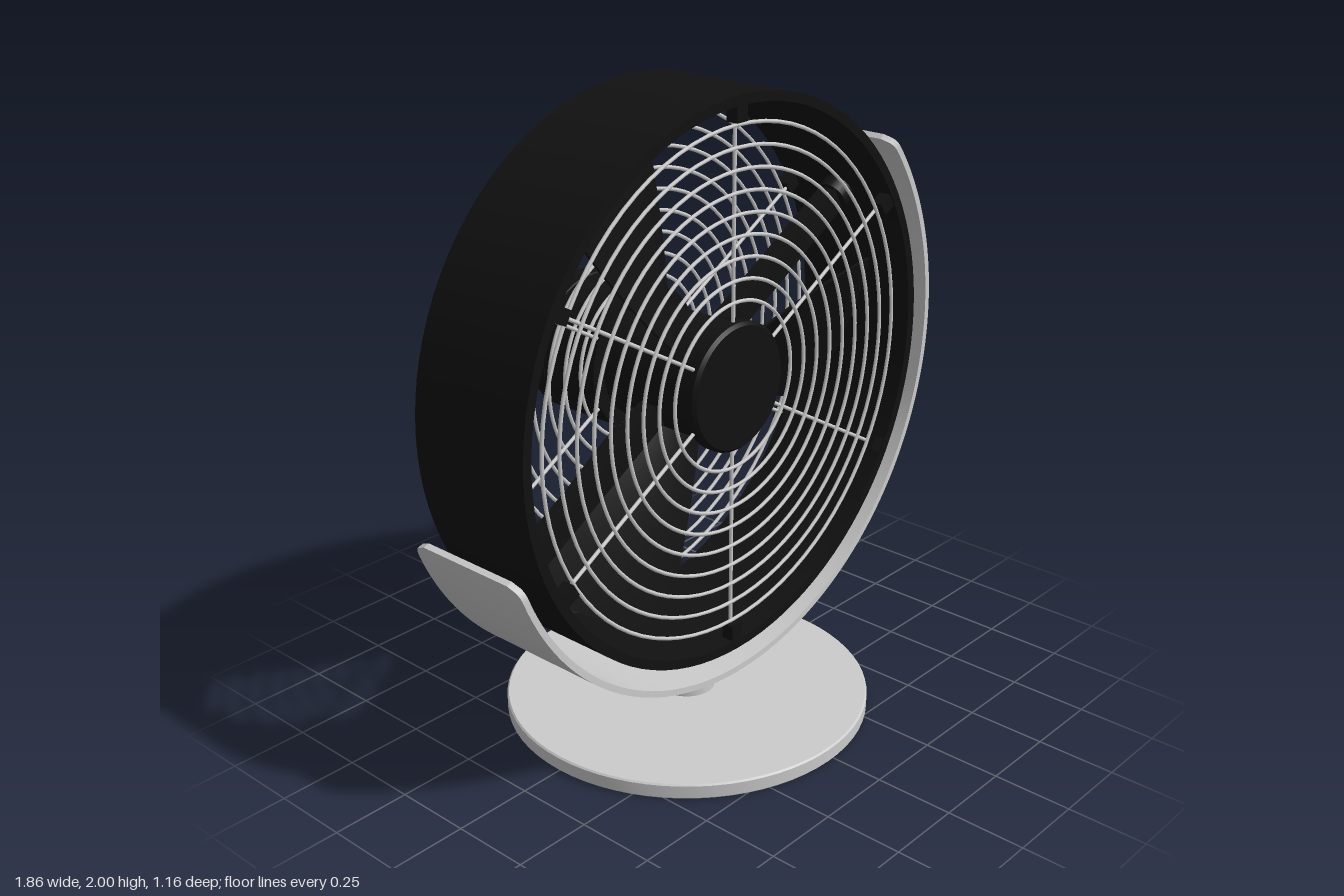
import * as THREE from 'three';
import { toCreasedNormals } from 'three/addons/utils/BufferGeometryUtils.js';

const grey = new THREE.MeshStandardMaterial({ color: 0xcccccc });
const black = new THREE.MeshStandardMaterial({ color: 0x111111 });
const rad = THREE.MathUtils.degToRad;

function add(parent, name, geometry, material) {
  const mesh = new THREE.Mesh(geometry, material);
  mesh.name = name;
  parent.add(mesh);
  return mesh;
}

// Revolved profile with sharp edges; axis is y
function lathe(points, segments = 64) {
  const g = new THREE.LatheGeometry(points.map(([r, y]) => new THREE.Vector2(r, y)), segments);
  return toCreasedNormals(g, rad(35));
}

// Solid disc along z between z0 and z1 with a small bevel
function discZ(radius, z0, z1, bevel = 0.01) {
  return lathe([[0, z0], [radius - bevel, z0], [radius, z0 + bevel],
    [radius, z1 - bevel], [radius - bevel, z1], [0, z1]]).rotateX(Math.PI / 2);
}

// Moves every vertex of a geometry by a rule
function warp(geometry, rule) {
  const p = geometry.attributes.position;
  const v = new THREE.Vector3();
  for (let i = 0; i < p.count; i++) {
    rule(v.fromBufferAttribute(p, i));
    p.setXYZ(i, v.x, v.y, v.z);
  }
  geometry.computeVertexNormals();
  return geometry;
}

// Curved cradle strip with rounded corners at both ends
function cradleGeometry() {
  const start = rad(199), end = rad(400.7), radius = 0.945, half = 0.215, corner = 0.045;
  const length = (end - start) * radius;
  return warp(new THREE.BoxGeometry(length, 0.02, half * 2, 240, 1, 1), (v) => {
    const fromEnd = length / 2 - Math.abs(v.x);
    const d = Math.max(0, corner - fromEnd);
    const w = half - corner + Math.sqrt(Math.max(0, corner * corner - d * d));
    const a = (start + end) / 2 - v.x / radius;
    const r = radius + v.y;
    v.set(r * Math.cos(a), r * Math.sin(a), Math.sign(v.z) * w);
  });
}

// Pitched fan blade, a sector of the disc
function bladeGeometry(centre) {
  return warp(new THREE.BoxGeometry(1, 1, 0.012, 12, 6, 1), (v) => {
    const t = v.y + 0.5;
    const r = 0.15 + 0.64 * t;
    const a = rad(centre - v.x * (50 - 11 * t));
    v.set(r * Math.cos(a), r * Math.sin(a), v.z - v.x * (0.15 + 0.05 * t));
  });
}

// Flat wire guard with rings, spokes and clips to the housing
function guard(z) {
  const group = new THREE.Group();
  group.name = z > 0 ? 'frontGuard' : 'backGuard';
  for (let i = 0; i < 9; i++) {
    add(group, 'guardRing', new THREE.TorusGeometry(0.26 + i * 0.065, 0.006, 6, 80), grey);
  }
  for (let i = 0; i < 6; i++) {
    const arm = new THREE.Group();
    arm.name = 'guardArm';
    arm.rotation.z = rad(30 + i * 60);
    add(arm, 'guardSpoke', new THREE.CylinderGeometry(0.006, 0.006, 0.65, 8).rotateZ(Math.PI / 2), grey)
      .position.set(0.495, 0, -Math.sign(z) * 0.008);
    add(arm, 'guardClip', new THREE.BoxGeometry(0.06, 0.045, 0.04), black).position.x = 0.82;
    group.add(arm);
  }
  group.position.z = z;
  return group;
}

export function createModel() {
  const model = new THREE.Group();
  model.name = 'deskFan';

  // Round foot and stem, with a recess underneath
  add(model, 'base', lathe([[0, 0.03], [0.085, 0.03], [0.085, 0], [0.575, 0], [0.58, 0.005],
    [0.58, 0.045], [0.575, 0.05], [0.09, 0.05], [0.09, 0.12], [0.096, 0.12],
    [0.096, 0.185], [0, 0.185]], 72), grey).position.x = -0.03;

  const head = new THREE.Group();
  head.name = 'head';
  head.position.set(-0.03, 1.13, 0);
  model.add(head);

  add(head, 'cradle', cradleGeometry(), grey);

  // Open cylindrical housing
  add(head, 'housing', lathe([[0.84, -0.215], [0.87, -0.215], [0.87, 0.215],
    [0.84, 0.215], [0.84, -0.215]], 96).rotateX(Math.PI / 2), black);

  // Support arms and tilt pivots on the slanted axis
  for (const angle of [30, 210]) {
    const side = new THREE.Group();
    side.name = 'tiltSupport';
    side.rotation.z = rad(angle);
    add(side, 'supportArm', new THREE.BoxGeometry(0.7, 0.08, 0.06), black).position.x = 0.5;
    add(side, 'pivot', new THREE.CylinderGeometry(0.055, 0.055, 0.12, 24).rotateZ(Math.PI / 2), black)
      .position.x = 0.855;
    add(side, 'pivotWasher', new THREE.CylinderGeometry(0.09, 0.09, 0.03, 32).rotateZ(Math.PI / 2), grey)
      .position.x = 0.923;
    head.add(side);
  }

  // Blades and hub
  const rotor = new THREE.Group();
  rotor.name = 'rotor';
  head.add(rotor);
  for (const angle of [-5, 115, 235]) add(rotor, 'blade', bladeGeometry(angle), black);
  add(rotor, 'hub', discZ(0.18, -0.2, 0.17), black);

  // Guards, front cap and rear motor
  head.add(guard(0.19), guard(-0.19));
  add(head, 'frontCap', discZ(0.2, 0.165, 0.21), black);
  add(head, 'motor', lathe([[0, -0.455], [0.22, -0.455], [0.226, -0.449], [0.226, -0.39],
    [0.222, -0.388], [0.222, -0.382], [0.226, -0.38], [0.226, -0.17], [0, -0.17]])
    .rotateX(Math.PI / 2), black);

  return model;
}
